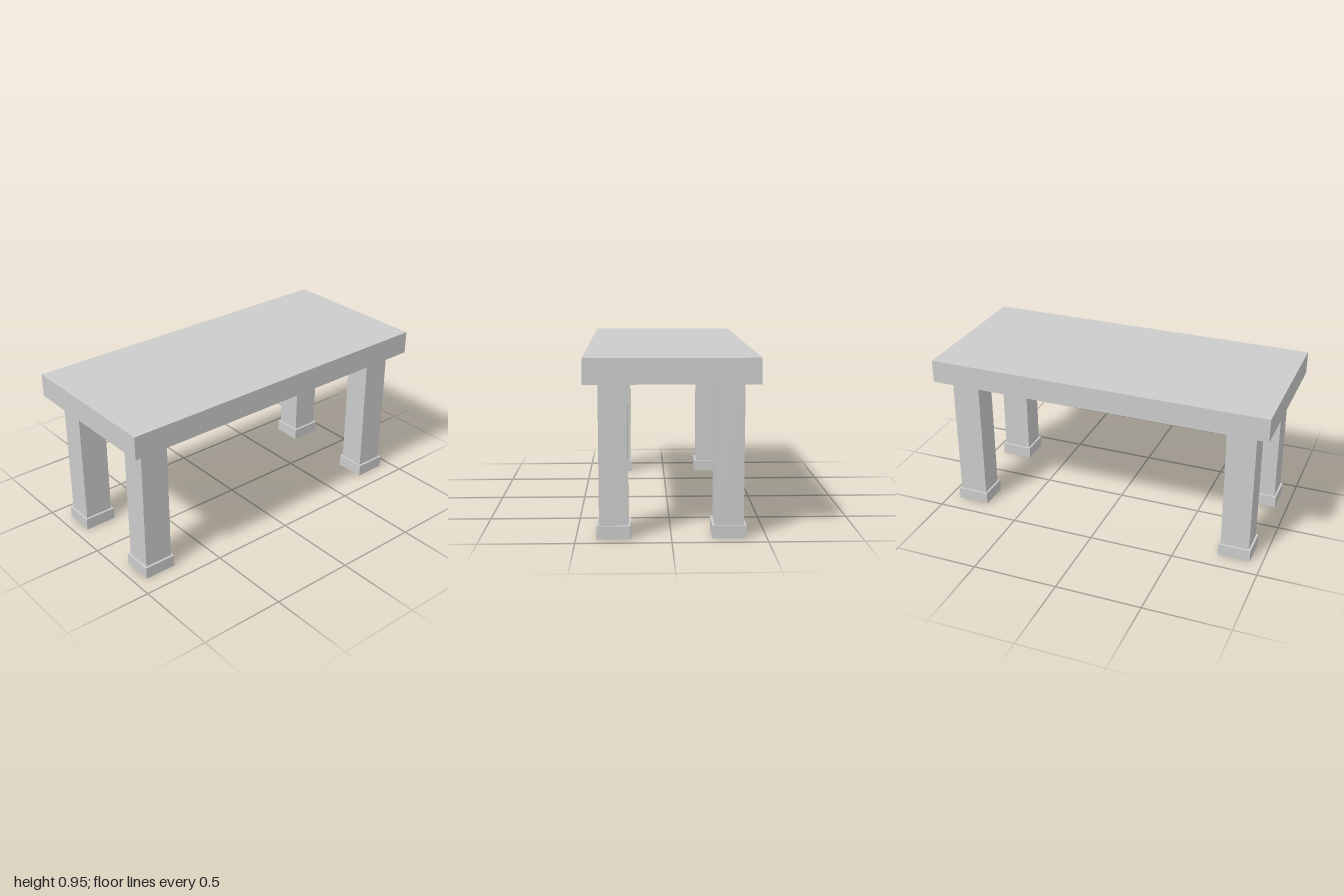
import * as THREE from 'three';

const material = new THREE.MeshStandardMaterial({ color: 0xcccccc, flatShading: true });

// Box resting on height y
function box(name, w, h, d, y) {
  const mesh = new THREE.Mesh(new THREE.BoxGeometry(w, h, d), material);
  mesh.name = name;
  mesh.position.y = y + h / 2;
  return mesh;
}

export function createModel() {
  const table = new THREE.Group();
  table.name = 'table';

  // Thick slab top
  table.add(box('tableTop', 2, 0.134, 0.906, 0.82));

  // Four legs, each on a slightly wider foot
  for (const [sz, end] of [[1, 'front'], [-1, 'back']]) {
    for (const [sx, side] of [[1, 'Left'], [-1, 'Right']]) {
      const leg = new THREE.Group();
      leg.name = `${end}${side}Leg`;
      leg.add(box('post', 0.167, 0.75, 0.152, 0.07));
      leg.add(box('foot', 0.19, 0.07, 0.178, 0));
      leg.position.set(sx * 0.835, 0, sz * 0.302);
      table.add(leg);
    }
  }
  return table;
}
